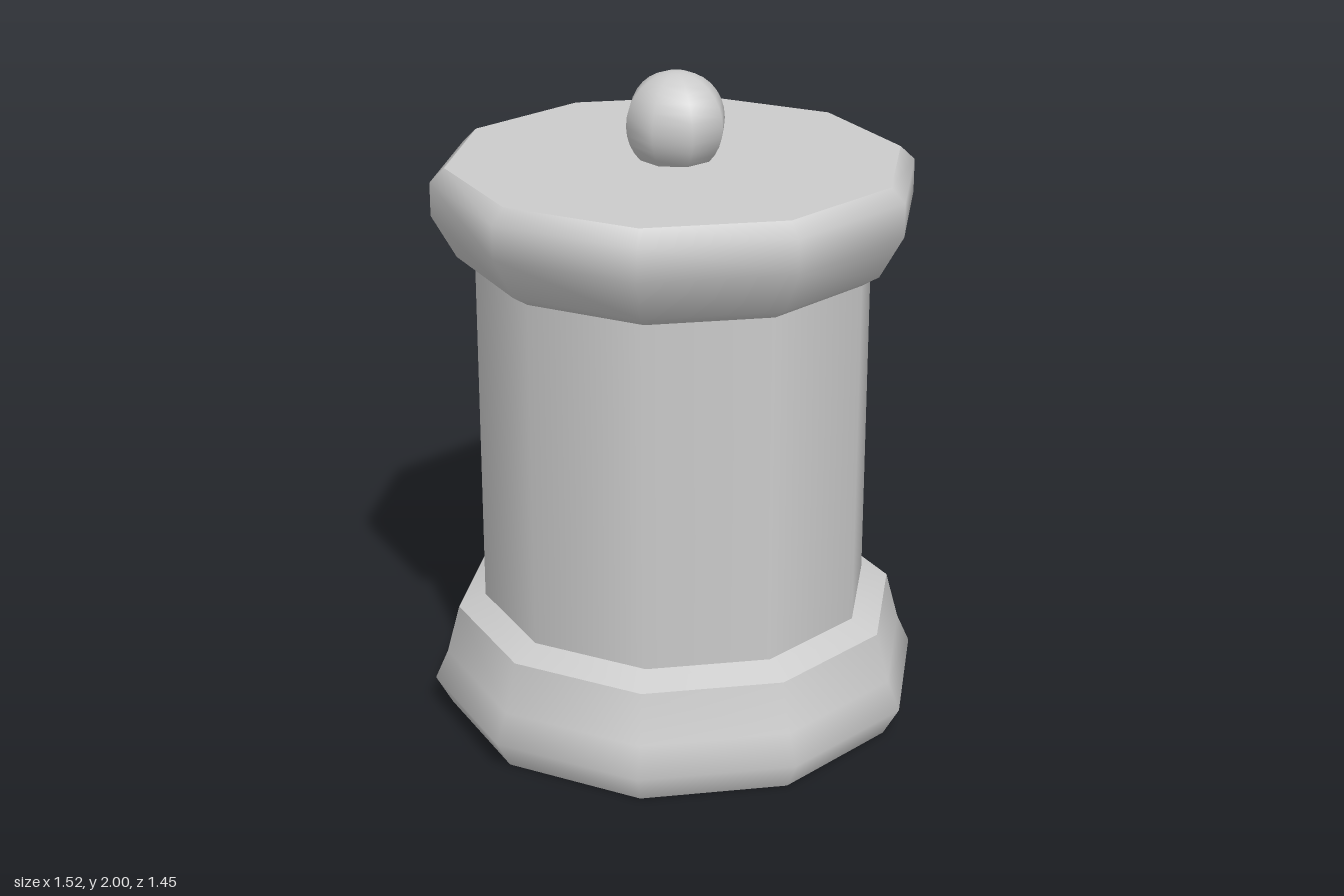
import * as THREE from 'three';

const SIDES = 10;
const TURN = Math.PI / 2; // puts a corner on the x axis

export function createModel() {
  const group = new THREE.Group();
  const material = new THREE.MeshStandardMaterial({ color: 0xcccccc });
  const shellMaterial = new THREE.MeshStandardMaterial({ color: 0xcccccc, side: THREE.DoubleSide });

  const add = (name, geometry, mat = material, y = 0) => {
    const mesh = new THREE.Mesh(geometry, mat);
    mesh.name = name;
    mesh.position.y = y;
    group.add(mesh);
  };

  // ten-sided ring from a profile of [radius, height], bottom to top
  const ring = (profile) => new THREE.LatheGeometry(
    profile.map(([r, y]) => new THREE.Vector2(r, y)), SIDES, TURN);

  // hollow flared foot, open underneath, with a sloping ledge up to the body
  add('baseSkirt', ring([[0.71, 0], [0.76, 0.09], [0.72, 0.18], [0.68, 0.33]]), shellMaterial);
  add('baseLedge', ring([[0.68, 0.33], [0.597, 0.367]]), shellMaterial);

  // straight body, closed at both ends
  add('body', new THREE.CylinderGeometry(0.597, 0.597, 1.07, SIDES, 1, false, TURN), material, 0.902);

  // lid: bulging rim, chamfer and flat top
  add('lidRim', ring([[0.597, 1.436], [0.65, 1.47], [0.722, 1.6], [0.722, 1.7], [0.678, 1.742]]), shellMaterial);
  add('lidTop', new THREE.CircleGeometry(0.678, SIDES).rotateX(-Math.PI / 2), material, 1.742);

  // round knob sunk into the lid
  add('knob', new THREE.SphereGeometry(0.152, 8, 16), material, 1.848);

  return group;
}
